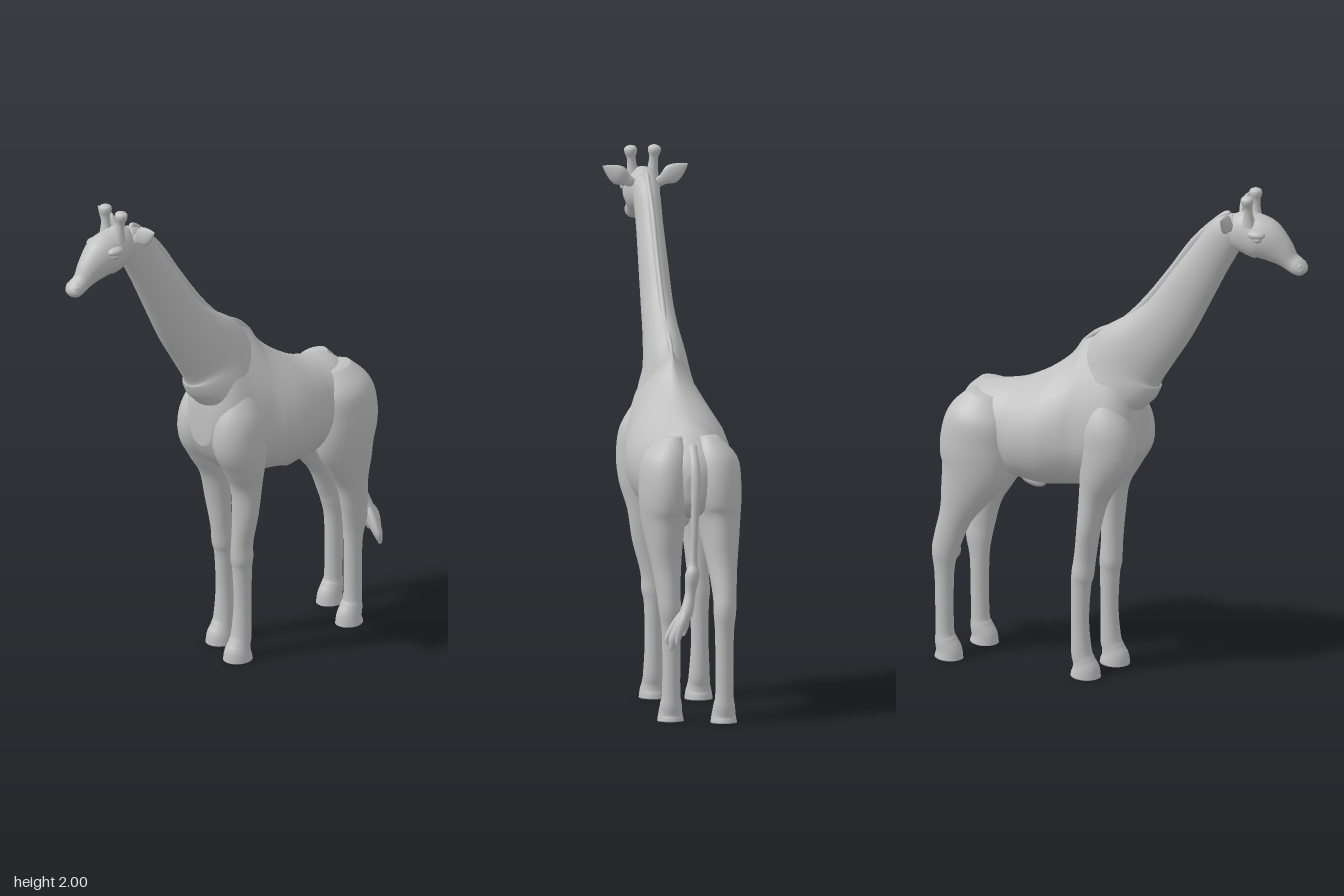
import * as THREE from 'three';

const grey = new THREE.MeshStandardMaterial({ color: 0xc0c0c0 });
grey.name = 'plain grey';

const SIDES = 28;

// Smoothly interpolate a list of numeric stations
function densify(stations, steps = 5) {
  const out = [];
  const n = stations.length;
  for (let i = 0; i < n - 1; i++) {
    const a = stations[Math.max(i - 1, 0)], b = stations[i];
    const c = stations[i + 1], d = stations[Math.min(i + 2, n - 1)];
    for (let s = 0; s < steps; s++) {
      const t = s / steps;
      out.push(b.map((v, k) => v + 0.5 * t * (c[k] - a[k]
        + t * (2 * a[k] - 5 * v + 4 * c[k] - d[k]
        + t * (3 * (v - c[k]) + d[k] - a[k])))));
    }
  }
  out.push(stations[n - 1]);
  return out;
}

// Skin a closed surface over rings of points, capped at both ends
function skin(rings) {
  const pos = [], index = [], n = rings.length;
  rings.forEach(r => r.forEach(p => pos.push(...p)));
  for (let i = 0; i < n - 1; i++) {
    for (let j = 0; j < SIDES; j++) {
      const k = (j + 1) % SIDES;
      const a = i * SIDES + j, b = i * SIDES + k;
      index.push(a, b, a + SIDES, b, b + SIDES, a + SIDES);
    }
  }
  [0, n - 1].forEach((i, end) => {
    const centre = pos.length / 3;
    const sum = rings[i].reduce((s, p) => s.map((v, k) => v + p[k] / SIDES), [0, 0, 0]);
    pos.push(...sum);
    for (let j = 0; j < SIDES; j++) {
      const a = i * SIDES + j, b = i * SIDES + (j + 1) % SIDES;
      if (end) index.push(a, b, centre); else index.push(b, a, centre);
    }
  });
  const g = new THREE.BufferGeometry();
  g.setAttribute('position', new THREE.Float32BufferAttribute(pos, 3));
  g.setIndex(index);
  g.computeVertexNormals();
  return g;
}

// Elliptical limb; stations are [x, y, z, half width, half depth]
function limb(stations) {
  const path = densify(stations);
  return skin(path.map(([x, y, z, w, d], i) => {
    const p = path[Math.max(i - 1, 0)], q = path[Math.min(i + 1, path.length - 1)];
    const len = Math.hypot(q[1] - p[1], q[2] - p[2]) || 1;
    const dy = (q[2] - p[2]) / len, dz = (p[1] - q[1]) / len;
    return Array.from({ length: SIDES }, (_, j) => {
      const t = j / SIDES * Math.PI * 2, c = w * Math.cos(t), s = d * Math.sin(t);
      return [x + c, Math.max(0, y + s * dy), z + s * dz];
    });
  }));
}

// Pear-shaped trunk; stations are [z, top, bottom, half width, widest y, pinch]
function trunk(stations) {
  return skin(densify(stations).map(([z, top, bottom, w, mid, pinch]) =>
    Array.from({ length: SIDES }, (_, j) => {
      const t = j / SIDES * Math.PI * 2, c = Math.cos(t), s = Math.sin(t);
      const power = s > 0 ? pinch : 0.9;
      return [
        w * Math.sign(c) * Math.pow(Math.abs(c), power),
        mid + s * (s > 0 ? top - mid : mid - bottom), z];
    })));
}

const foreStations = [
  [0.07, 1.14, -0.04, 0.04, 0.05], [0.09, 1.03, -0.035, 0.085, 0.1],
  [0.1, 0.92, -0.025, 0.09, 0.112], [0.1, 0.82, -0.045, 0.083, 0.085],
  [0.09, 0.72, -0.065, 0.066, 0.057], [0.082, 0.6, -0.068, 0.056, 0.045],
  [0.065, 0.48, -0.068, 0.042, 0.042], [0.06, 0.41, -0.07, 0.043, 0.043],
  [0.058, 0.36, -0.073, 0.036, 0.038], [0.058, 0.22, -0.075, 0.033, 0.034],
  [0.057, 0.1, -0.07, 0.039, 0.039], [0.057, 0.06, -0.06, 0.042, 0.043],
  [0.057, 0.03, -0.053, 0.049, 0.053], [0.057, 0, -0.053, 0.053, 0.058]];

const hindStations = [
  [0.065, 1.07, -0.53, 0.04, 0.06], [0.088, 0.99, -0.54, 0.09, 0.12],
  [0.095, 0.88, -0.55, 0.097, 0.139], [0.1, 0.78, -0.545, 0.086, 0.132],
  [0.1, 0.68, -0.565, 0.069, 0.1], [0.095, 0.58, -0.585, 0.054, 0.065],
  [0.09, 0.48, -0.6, 0.044, 0.055], [0.085, 0.42, -0.606, 0.042, 0.05],
  [0.08, 0.33, -0.602, 0.035, 0.037], [0.08, 0.12, -0.6, 0.034, 0.035],
  [0.08, 0.07, -0.595, 0.04, 0.042], [0.08, 0.03, -0.583, 0.045, 0.05],
  [0.08, 0, -0.583, 0.05, 0.055]];

// Right-hand leg: mirrored, with the foot set outward and back
const stepBack = (stations, out, back) => stations.map(([x, y, z, w, d]) => {
  const k = THREE.MathUtils.smoothstep(0.9 - y, 0, 0.6);
  return [-x - out * k, y, z - back * k, w, d];
});

export function createModel() {
  const model = new THREE.Group();
  model.name = 'giraffe';
  const add = (name, geometry, parent = model) => {
    const mesh = new THREE.Mesh(geometry, grey);
    mesh.name = name;
    parent.add(mesh);
    return mesh;
  };
  const ball = (name, x, y, z, sx, sy, sz) => {
    const m = add(name, new THREE.SphereGeometry(1, 20, 14));
    m.position.set(x, y, z);
    m.scale.set(sx, sy, sz);
    return m;
  };

  // Trunk, neck and mane
  add('torso', trunk([
    [-0.675, 0.95, 0.84, 0.03, 0.9, 1], [-0.64, 1.015, 0.79, 0.09, 0.92, 1],
    [-0.55, 1.09, 0.76, 0.145, 0.92, 1.1], [-0.45, 1.112, 0.745, 0.155, 0.93, 1.2],
    [-0.38, 1.13, 0.735, 0.18, 0.93, 1.2], [-0.28, 1.185, 0.725, 0.198, 0.94, 1.4],
    [-0.2, 1.25, 0.735, 0.19, 0.94, 1.8], [-0.15, 1.32, 0.74, 0.178, 0.94, 2.4],
    [-0.08, 1.36, 0.75, 0.17, 0.95, 2.8], [0, 1.385, 0.79, 0.155, 0.96, 2.8],
    [0.05, 1.26, 0.84, 0.12, 0.98, 2], [0.085, 1.07, 0.9, 0.06, 0.98, 1]]));
  add('neck', limb([
    [0, 1.1, -0.03, 0.12, 0.12], [0, 1.17, -0.01, 0.105, 0.155],
    [0, 1.25, 0.02, 0.082, 0.155], [0, 1.35, 0.112, 0.066, 0.125],
    [0, 1.445, 0.19, 0.059, 0.106], [0, 1.595, 0.28, 0.054, 0.092],
    [0, 1.72, 0.355, 0.05, 0.08], [0, 1.82, 0.42, 0.05, 0.072],
    [0, 1.86, 0.47, 0.045, 0.05]]));
  add('mane', limb([
    [0, 1.9, 0.43, 0.008, 0.012], [0, 1.88, 0.4, 0.011, 0.018],
    [0, 1.775, 0.295, 0.011, 0.018], [0, 1.635, 0.198, 0.011, 0.018],
    [0, 1.5, 0.098, 0.011, 0.018], [0, 1.4, 0, 0.011, 0.016],
    [0, 1.348, -0.1, 0.009, 0.012], [0, 1.3, -0.16, 0.004, 0.006]]));

  // Head
  add('head', limb([
    [0, 1.865, 0.42, 0.025, 0.035], [0, 1.848, 0.46, 0.055, 0.075],
    [0, 1.828, 0.53, 0.068, 0.086], [0, 1.815, 0.575, 0.066, 0.081],
    [0, 1.78, 0.628, 0.049, 0.059], [0, 1.745, 0.668, 0.036, 0.038],
    [0, 1.725, 0.7, 0.036, 0.034], [0, 1.712, 0.722, 0.03, 0.024],
    [0, 1.706, 0.731, 0.012, 0.01]]));

  const earProfile = [[0, 0], [0.017, 0.008], [0.022, 0.03], [0.036, 0.06],
    [0.033, 0.085], [0.018, 0.115], [0, 0.14]]
    .map(p => new THREE.Vector2(...p));
  const earCurve = new THREE.SplineCurve(earProfile).getPoints(18)
    .map(p => p.set(Math.max(0, p.x), p.y));
  const hornCurve = new THREE.SplineCurve([[0.027, 0], [0.019, 0.04], [0.017, 0.075],
    [0.024, 0.098], [0.021, 0.115], [0, 0.124]]
    .map(p => new THREE.Vector2(...p))).getPoints(18)
    .map(p => p.set(Math.max(0, p.x), p.y));

  for (const [side, s] of [['left', 1], ['right', -1]]) {
    const ear = add(side + 'Ear', new THREE.LatheGeometry(earCurve, 20));
    ear.position.set(s * 0.043, 1.862, 0.45);
    ear.rotation.z = -s * 1.03;
    ear.scale.z = 0.45;
    const horn = add(side + 'Horn', new THREE.LatheGeometry(hornCurve, 20));
    horn.position.set(s * 0.036, 1.877, 0.518);
    horn.rotation.set(-0.04, 0, -s * 0.09);
    ball(side + 'Brow', s * 0.06, 1.853, 0.555, 0.022, 0.017, 0.035);
    ball(side + 'Eye', s * 0.063, 1.837, 0.56, 0.015, 0.014, 0.02);
    ball(side + 'Nostril', s * 0.02, 1.733, 0.712, 0.012, 0.012, 0.014);
  }

  // Legs
  add('leftForeleg', limb(foreStations));
  add('rightForeleg', limb(stepBack(foreStations, 0.05, 0.055)));
  add('leftHindLeg', limb(hindStations));
  add('rightHindLeg', limb(stepBack(hindStations, 0.03, 0.07)));

  // Belly detail
  const sheath = ball('bellyBump', 0, 0.722, -0.36, 0.03, 0.026, 0.055);
  sheath.rotation.x = 0.35;

  // Tail with a swinging tuft
  add('tail', limb([
    [0, 1.04, -0.6, 0.018, 0.018], [0, 0.97, -0.655, 0.02, 0.02],
    [0, 0.88, -0.68, 0.018, 0.018], [0.005, 0.75, -0.685, 0.014, 0.014],
    [0.01, 0.62, -0.685, 0.015, 0.016], [0.015, 0.57, -0.69, 0.027, 0.029],
    [0.023, 0.5, -0.69, 0.02, 0.022], [0.04, 0.43, -0.703, 0.026, 0.027],
    [0.065, 0.38, -0.71, 0.026, 0.026], [0.09, 0.33, -0.715, 0.02, 0.018],
    [0.1, 0.29, -0.72, 0.006, 0.006]]));
  for (const [x, z, drop] of [[0.045, -0.7, 0.34], [0.075, -0.73, 0.31], [0.108, -0.7, 0.31]]) {
    add('tailLock', limb([
      [0.04, 0.45, -0.703, 0.01, 0.01], [(x + 0.04) / 2, 0.4, z, 0.016, 0.014],
      [x, drop + 0.03, z, 0.013, 0.012], [x + 0.005, drop, z - 0.005, 0.004, 0.004]]));
  }
  return model;
}
